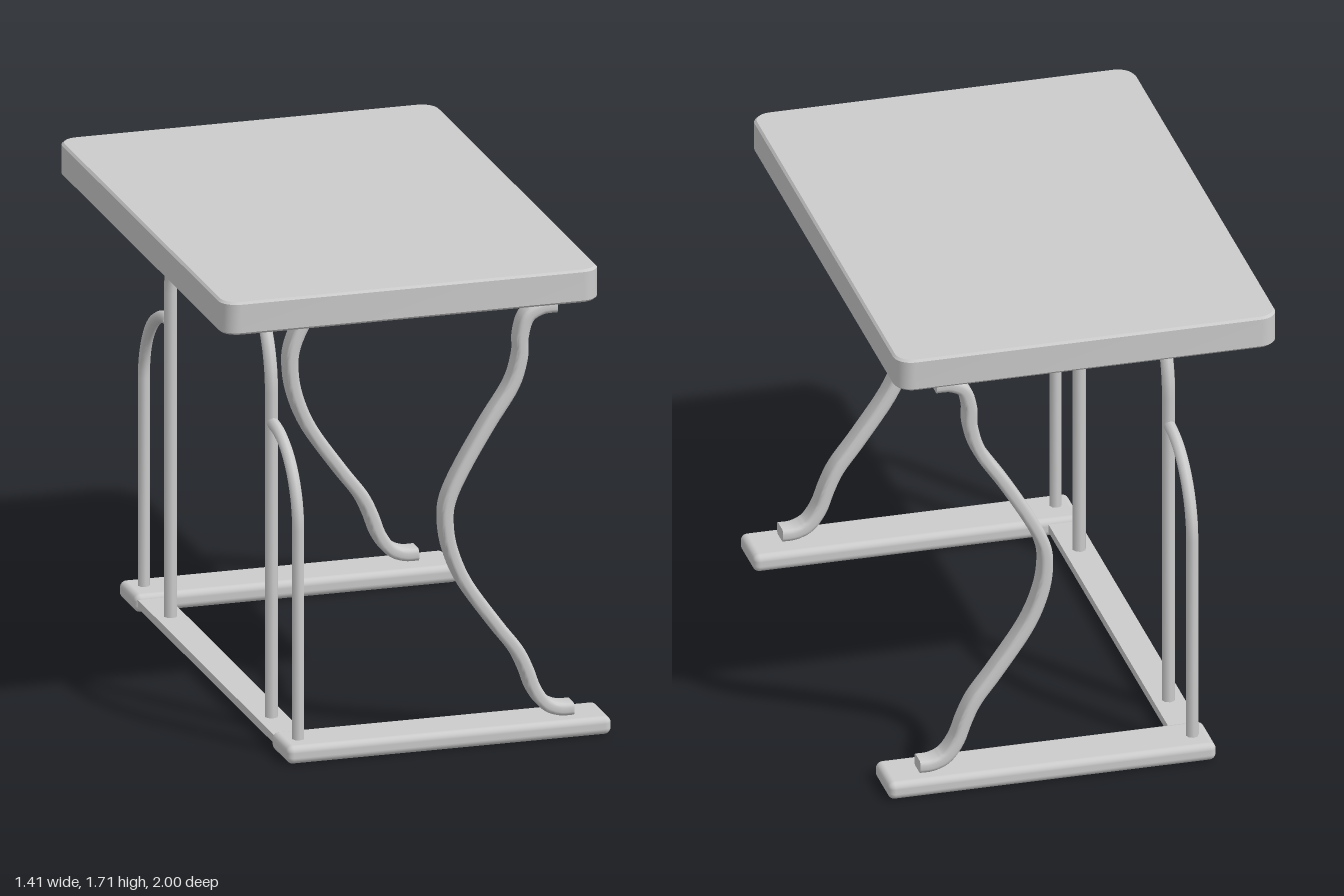
import * as THREE from 'three';
import { toCreasedNormals } from 'three/addons/utils/BufferGeometryUtils.js';
import { RoundedBoxGeometry } from 'three/addons/geometries/RoundedBoxGeometry.js';

const grey = new THREE.MeshStandardMaterial({ color: 0xcccccc });
const FRAME_X = -0.415;

// Skin a list of equal-sized rings and close both ends.
function loft(rings, crease = 0.6) {
  const n = rings[0].length, pos = [], index = [];
  rings.forEach(r => r.forEach(p => pos.push(p.x, p.y, p.z)));
  for (let i = 0; i < rings.length - 1; i++) {
    for (let j = 0; j < n; j++) {
      const k = (j + 1) % n, a = i * n, b = a + n;
      index.push(a + j, a + k, b + k, a + j, b + k, b + j);
    }
  }
  [0, rings.length - 1].forEach((i, end) => {
    const c = new THREE.Vector3();
    rings[i].forEach(p => c.addScaledVector(p, 1 / n));
    const ci = pos.length / 3;
    pos.push(c.x, c.y, c.z);
    for (let j = 0; j < n; j++) {
      const a = i * n + j, b = i * n + (j + 1) % n;
      index.push(ci, ...(end ? [a, b] : [b, a]));
    }
  });
  const g = new THREE.BufferGeometry();
  g.setAttribute('position', new THREE.Float32BufferAttribute(pos, 3));
  g.setIndex(index);
  return toCreasedNormals(g, crease);
}

// Counter-clockwise rounded rectangle, as 2D points.
function roundedRect(w, h, r, steps) {
  const pts = [];
  [[1, 1], [-1, 1], [-1, -1], [1, -1]].forEach(([sx, sy], q) => {
    for (let i = 0; i <= steps; i++) {
      const a = (q + i / steps) * Math.PI / 2;
      pts.push(new THREE.Vector2(sx * (w / 2 - r) + r * Math.cos(a), sy * (h / 2 - r) + r * Math.sin(a)));
    }
  });
  return pts;
}

function circle(r, sides) {
  return Array.from({ length: sides }, (_, i) =>
    new THREE.Vector2(r * Math.cos(i / sides * Math.PI * 2), r * Math.sin(i / sides * Math.PI * 2)));
}

// Sweep a section along a path lying in the xy plane.
function sweep(path, section, crease) {
  return loft(path.map((p, i) => {
    const t = path[Math.min(i + 1, path.length - 1)].clone().sub(path[Math.max(i - 1, 0)]).normalize();
    return section.map(s => new THREE.Vector3(p.x - t.y * s.x, p.y + t.x * s.x, s.y));
  }), crease);
}

function arc(cx, cy, rx, ry, from, to, steps = 14) {
  return Array.from({ length: steps + 1 }, (_, i) => {
    const a = (from + (to - from) * i / steps) * Math.PI / 2;
    return new THREE.Vector2(cx + rx * Math.cos(a), cy + ry * Math.sin(a));
  });
}

export function createModel() {
  const model = new THREE.Group();
  const add = (name, geo, x = 0, y = 0, z = 0) => {
    const m = new THREE.Mesh(geo, grey);
    m.name = name;
    m.position.set(x, y, z);
    model.add(m);
    return m;
  };

  // Tabletop: from the recess ceiling, round the rim, up to the top [inset, height, corner radius]
  const topRings = [
    [0.14, 1.63, 0.04], [0.14, 1.59, 0.04], [0.008, 1.59, 0.06],
    [0, 1.598, 0.065], [0, 1.702, 0.065], [0.008, 1.71, 0.06],
  ].map(([inset, y, r]) => roundedRect(1.38 - 2 * inset, 1.97 - 2 * inset, r, 8)
    .map(p => new THREE.Vector3(p.x, y, -p.y)));
  add('tabletop', loft(topRings, 0.5), -0.02);

  // Curved legs and skids
  const legCurve = new THREE.SplineCurve([
    [0.52, 1.573], [0.465, 1.57], [0.415, 1.54], [0.394, 1.47], [0.392, 1.40], [0.36, 1.295],
    [0.272, 1.16], [0.182, 1.01], [0.13, 0.9], [0.12, 0.815], [0.137, 0.71], [0.19, 0.585],
    [0.3, 0.425], [0.375, 0.325], [0.412, 0.25], [0.44, 0.175], [0.48, 0.118], [0.53, 0.094], [0.58, 0.092],
  ].map(p => new THREE.Vector2(...p)));
  const legSection = roundedRect(0.046, 0.084, 0.015, 3);

  // Side braces: a post from the skid that arches over to the main frame
  const bracePath = [new THREE.Vector2(0.91, 0.04), ...arc(0.61, 0.83, 0.3, 0.3, 0, 1)];

  for (const s of [1, -1]) {
    const side = s > 0 ? 'front' : 'back';
    add(side + 'Skid', new RoundedBoxGeometry(1.185, 0.066, 0.2, 4, 0.024), 0.112, 0.033, s * 0.9);
    add(side + 'CurvedLeg', sweep(legCurve.getPoints(90), legSection), 0, 0, s * 0.915);

    const brace = sweep(bracePath, circle(0.022, 8), 1).rotateY(-Math.PI / 2);
    if (s < 0) brace.rotateY(Math.PI);
    add(side + 'Brace', brace, FRAME_X);

    // Hinge: half-round bracket and a sleeve on the frame
    const half = new THREE.Shape().absarc(0, 0, 0.09, Math.PI, Math.PI * 2, false);
    const bracket = new THREE.ExtrudeGeometry(half, { depth: 0.065, bevelEnabled: false, curveSegments: 20 });
    add(side + 'HingeBracket', bracket.translate(0, 0, -0.0325), FRAME_X, 1.624, s * 0.215);
    add(side + 'HingeSleeve', new THREE.CylinderGeometry(0.035, 0.035, 0.055, 16).rotateX(Math.PI / 2),
      FRAME_X, 1.57, s * 0.308);
  }

  // Arched frame carrying the tabletop
  const archPath = [
    new THREE.Vector2(0.595, 0.03),
    ...arc(0.29, 1.24, 0.305, 0.332, 0, 1),
    ...arc(-0.29, 1.24, 0.305, 0.332, 1, 2),
    new THREE.Vector2(-0.595, 0.03),
  ];
  add('archFrame', sweep(archPath, circle(0.024, 8), 1).rotateY(-Math.PI / 2), FRAME_X);

  // Flat floor bar joining the skids
  add('crossBar', new THREE.BoxGeometry(0.11, 0.03, 1.66), FRAME_X, 0.035, 0);

  return model;
}
